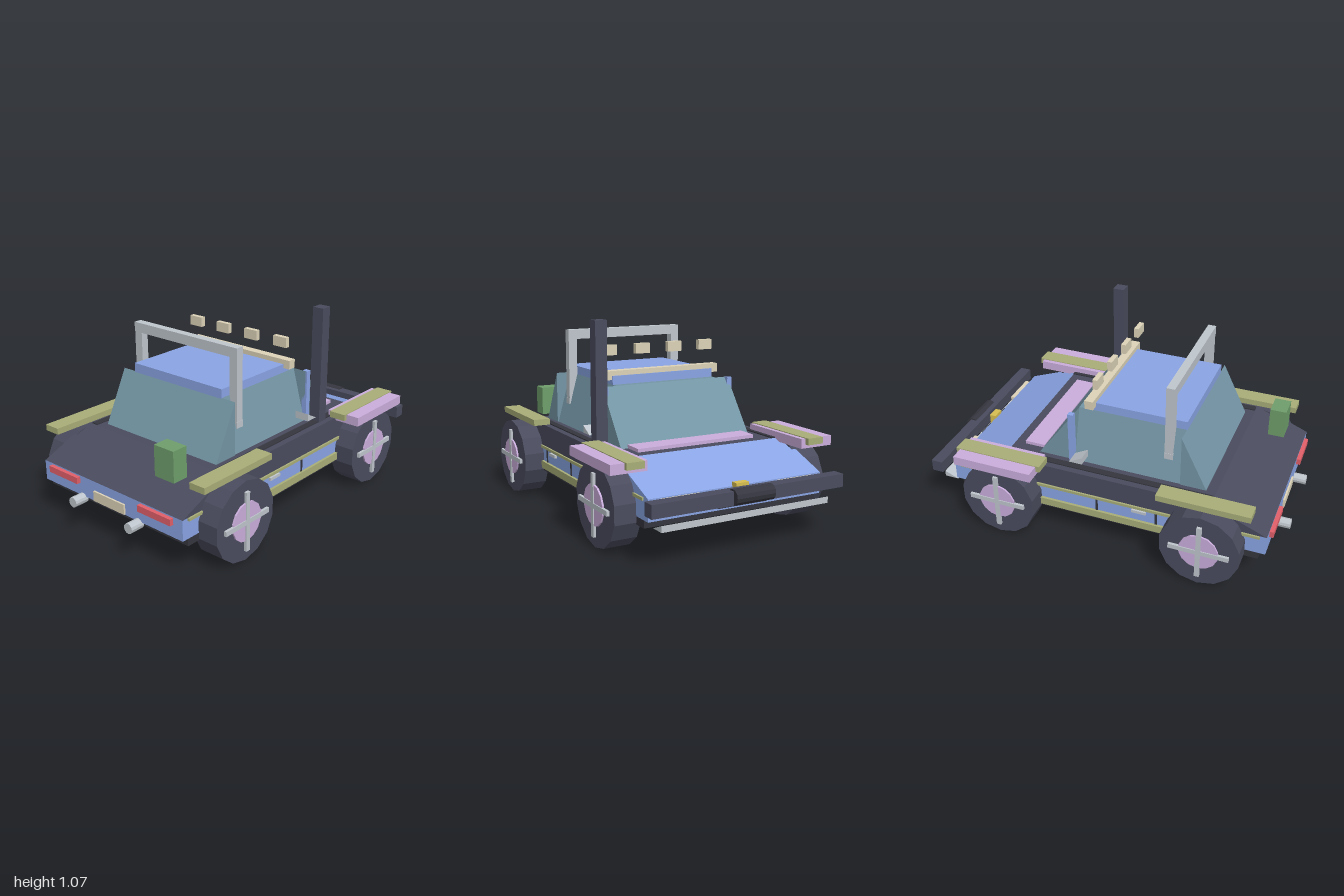
import * as THREE from 'three';

const COLORS = {
  blue: 0x8aa5e6, dark: 0x4a4c5e, black: 0x35363f, glass: 0x7596a6, olive: 0xa9ae78,
  pink: 0xcbaedd, cream: 0xddd3b8, red: 0xe2606a, green: 0x6f9f6c, grey: 0xbfc6cd, yellow: 0xd8bf50,
};
const materials = {};
for (const key in COLORS) {
  materials[key] = new THREE.MeshStandardMaterial({ color: COLORS[key], flatShading: true });
}

export function createModel() {
  const model = new THREE.Group();
  model.name = 'offRoadTruck';

  const add = (name, geometry, color, parent = model) => {
    const mesh = new THREE.Mesh(geometry, materials[color]);
    mesh.name = name;
    parent.add(mesh);
    return mesh;
  };
  // Box given by its limits on each axis
  const box = (name, color, [x0, x1], [y0, y1], [z0, z1], parent) => {
    const g = new THREE.BoxGeometry(x1 - x0, y1 - y0, z1 - z0);
    g.translate((x0 + x1) / 2, (y0 + y1) / 2, (z0 + z1) / 2);
    return add(name, g, color, parent);
  };
  // The same box on both sides
  const pair = (name, color, [x0, x1], y, z) => {
    box(name + 'Left', color, [x0, x1], y, z);
    box(name + 'Right', color, [-x1, -x0], y, z);
  };
  // Side profile of [z, y] points stretched across x
  const prism = (name, color, points, x0, x1) => {
    const shape = new THREE.Shape(points.map(([z, y]) => new THREE.Vector2(-z, y)));
    const g = new THREE.ExtrudeGeometry(shape, { depth: x1 - x0, bevelEnabled: false });
    g.rotateY(Math.PI / 2).translate(x0, 0, 0);
    return add(name, g, color);
  };

  // Lower body, sloping rear deck and hood
  box('chassis', 'black', [-0.5, 0.5], [0.16, 0.2], [-0.81, 0.895]);
  box('lowerBody', 'blue', [-0.5, 0.5], [0.2, 0.31], [-0.85, 0.93]);
  prism('upperBody', 'dark', [[0.93, 0.31], [0.63, 0.432], [-0.535, 0.432], [-0.535, 0.31]], -0.5, 0.5);
  prism('hood', 'blue', [[-0.535, 0.432], [-0.535, 0.31], [-0.85, 0.31]], -0.5, 0.5);
  box('hoodVent', 'pink', [-0.35, 0.35], [0.425, 0.45], [-0.475, -0.36]);
  pair('deckRail', 'black', [0.427, 0.465], [0.425, 0.438], [-0.535, 0.625]);

  // Side trim, sills, door seams and handles
  pair('sideTrim', 'olive', [0.49, 0.51], [0.295, 0.31], [-0.81, 0.895]);
  pair('sill', 'olive', [0.48, 0.515], [0.178, 0.22], [-0.36, 0.42]);
  pair('rearDoorSeam', 'black', [0.49, 0.504], [0.22, 0.295], [0.338, 0.35]);
  pair('frontDoorSeam', 'black', [0.49, 0.504], [0.22, 0.295], [0.003, 0.015]);
  pair('doorHandle', 'grey', [0.49, 0.513], [0.272, 0.288], [0.21, 0.29]);

  // Cabin: side windows lean in, wedges form windscreen and rear window
  const section = new THREE.Shape([[-0.39, 0.43], [0.39, 0.43], [0.31, 0.72], [-0.31, 0.72]]
    .map(([x, y]) => new THREE.Vector2(x, y)));
  const cabin = new THREE.ExtrudeGeometry(section, { depth: 0.595, bevelEnabled: false });
  add('cabin', cabin.translate(0, 0, -0.16), 'glass');
  prism('windscreen', 'glass', [[-0.16, 0.43], [-0.16, 0.72], [-0.37, 0.43]], -0.39, 0.39);
  prism('rearWindow', 'glass', [[0.435, 0.43], [0.578, 0.43], [0.435, 0.72]], -0.395, 0.395);
  pair('windscreenPillar', 'blue', [0.37, 0.4], [0.43, 0.72], [-0.19, -0.16]);
  box('roof', 'blue', [-0.31, 0.31], [0.715, 0.767], [-0.12, 0.437]);

  // Roof lights
  box('lightBar', 'cream', [-0.35, 0.35], [0.745, 0.793], [-0.113, -0.065]);
  for (const x of [-0.3, -0.1, 0.1, 0.3]) {
    box('roofLight', 'cream', [x - 0.043, x + 0.043], [0.87, 0.925], [-0.067, -0.04]);
  }

  // Roll bar
  box('rollBarTop', 'grey', [-0.36, 0.36], [0.922, 0.975], [0.335, 0.38]);
  pair('rollBarPost', 'grey', [0.31, 0.36], [0.58, 0.93], [0.335, 0.378]);
  pair('rollBarFoot', 'grey', [0.31, 0.362], [0.55, 0.585], [0.333, 0.38]);

  // Snorkel, fuel can and mirrors
  box('snorkel', 'dark', [0.405, 0.47], [0.43, 1.076], [-0.25, -0.187]);
  box('fuelCan', 'green', [0.235, 0.362], [0.42, 0.585], [0.75, 0.84]);
  for (const x0 of [0.385, -0.468]) {
    prism('mirror', 'grey', [[-0.085, 0.512], [-0.085, 0.472], [-0.16, 0.472]], x0, x0 + 0.083);
  }

  // Fenders
  pair('rearFender', 'olive', [0.476, 0.571], [0.437, 0.471], [0.36, 0.855]);
  pair('frontFender', 'olive', [0.476, 0.571], [0.437, 0.472], [-0.78, -0.285]);
  pair('frontFenderFlare', 'pink', [0.45, 0.645], [0.417, 0.468], [-0.757, -0.307]);

  // Wheels with hub and crossed spokes
  for (const z of [0.612, -0.527]) {
    for (const side of [1, -1]) {
      const wheel = new THREE.Group();
      wheel.name = 'wheel';
      const tire = new THREE.CylinderGeometry(0.215, 0.215, 0.14, 14);
      add('tire', tire.rotateX(0).rotateY(Math.PI / 2).rotateZ(Math.PI / 2), 'dark', wheel);
      const hub = new THREE.CylinderGeometry(0.105, 0.105, 0.15, 14);
      add('hub', hub.rotateY(Math.PI / 2).rotateZ(Math.PI / 2).translate(side * 0.005, 0, 0), 'pink', wheel);
      const out = side > 0 ? [0.06, 0.085] : [-0.085, -0.06];
      box('spokeUpright', 'grey', out, [-0.16, 0.16], [-0.013, 0.013], wheel);
      box('spokeLevel', 'grey', out, [-0.013, 0.013], [-0.16, 0.16], wheel);
      wheel.position.set(side * 0.545, 0.216, z);
      model.add(wheel);
    }
  }

  // Tail lights, plate and exhausts
  pair('tailLight', 'red', [0.22, 0.44], [0.268, 0.303], [0.92, 0.952]);
  box('rearPlate', 'cream', [-0.112, 0.112], [0.205, 0.26], [0.92, 0.94]);
  for (const x of [-0.205, 0.203]) {
    const pipe = new THREE.CylinderGeometry(0.028, 0.028, 0.08, 12);
    add('exhaust', pipe.rotateX(Math.PI / 2).translate(x, 0.188, 0.96), 'grey');
  }

  // Headlights, grille, bumper with winch, and skid plate
  pair('headlight', 'cream', [0.228, 0.435], [0.27, 0.305], [-0.88, -0.84]);
  box('grille', 'black', [-0.14, 0.14], [0.22, 0.272], [-0.885, -0.84]);
  box('badge', 'yellow', [-0.036, 0.036], [0.27, 0.33], [-0.882, -0.845]);
  box('bumper', 'dark', [-0.548, 0.548], [0.255, 0.322], [-0.97, -0.905]);
  const winch = new THREE.CylinderGeometry(0.04, 0.04, 0.22, 12);
  add('winch', winch.rotateZ(Math.PI / 2).translate(0, 0.292, -0.96), 'black');
  prism('skidPlate', 'grey', [[-0.86, 0.174], [-0.94, 0.174], [-0.94, 0.207]], -0.48, 0.48);

  return model;
}
